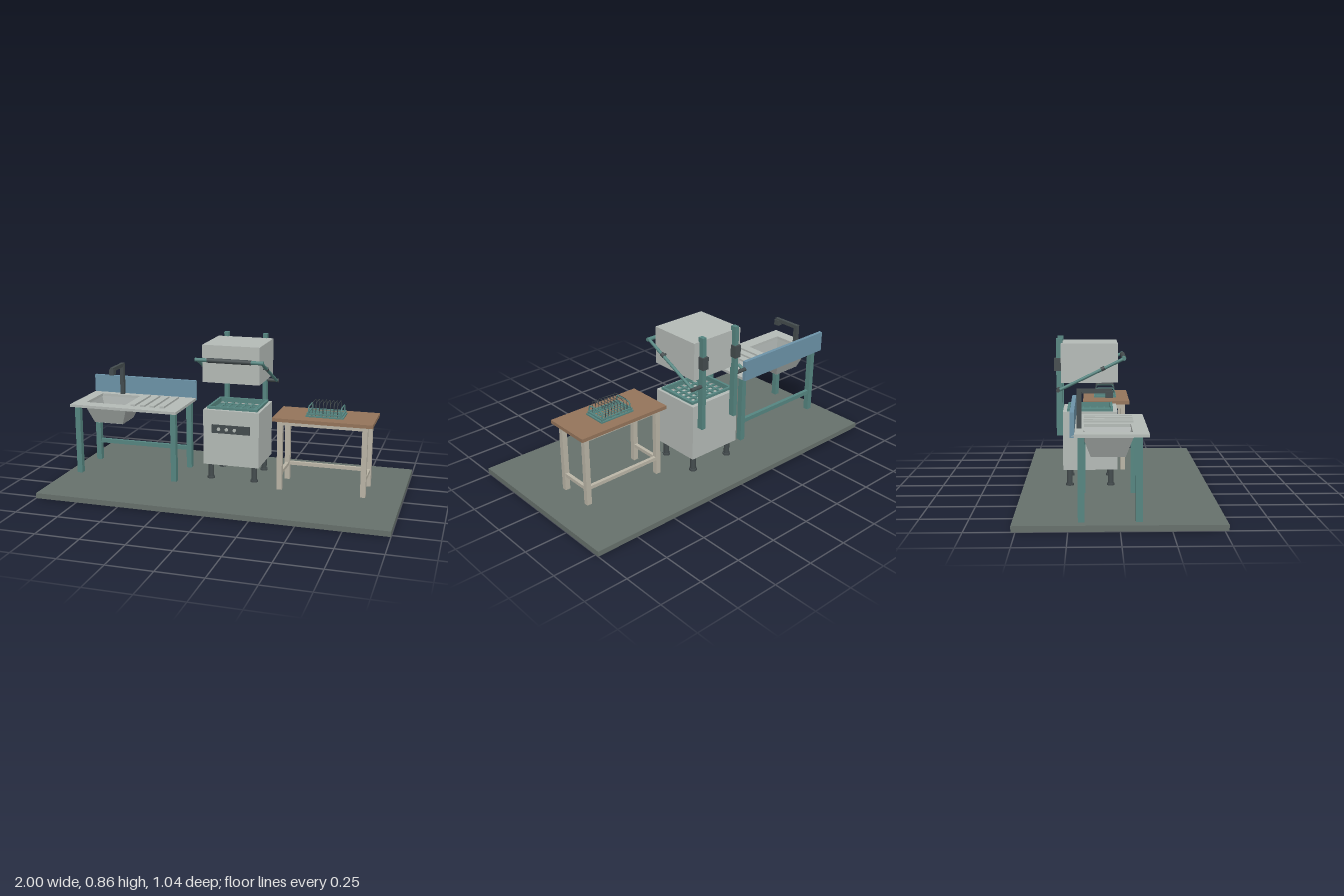
import * as THREE from 'three';

const mat = (color) => new THREE.MeshStandardMaterial({ color });
const M = {
  floor: mat(0x66706b), steel: mat(0xb4bab6), teal: mat(0x558580), blue: mat(0x6c93a8),
  dark: mat(0x444c4e), cream: mat(0xbab5a6), wood: mat(0x94745a),
};
const shell = mat(0xa4aaa7);
shell.side = THREE.DoubleSide;
shell.flatShading = true;

function add(parent, name, geometry, material) {
  const mesh = new THREE.Mesh(geometry, material);
  mesh.name = name;
  parent.add(mesh);
  return mesh;
}
// Box from its minimum and maximum corners
function box(parent, name, m, x0, x1, y0, y1, z0, z1) {
  const g = new THREE.BoxGeometry(x1 - x0, y1 - y0, z1 - z0);
  add(parent, name, g, m).position.set((x0 + x1) / 2, (y0 + y1) / 2, (z0 + z1) / 2);
}
// Round bar between two points
function bar(parent, name, m, a, b, r, r2 = r) {
  const p = new THREE.Vector3(...a), q = new THREE.Vector3(...b), d = q.clone().sub(p);
  const mesh = add(parent, name, new THREE.CylinderGeometry(r2, r, d.length(), 16), m);
  mesh.position.copy(p).add(q).multiplyScalar(0.5);
  mesh.quaternion.setFromUnitVectors(new THREE.Vector3(0, 1, 0), d.normalize());
}
// Flat slab or frame with a rectangular hole
function frame(parent, name, m, [x0, x1, z0, z1], [a0, a1, b0, b1], y0, y1) {
  const rect = (P, l, r, b, f) => {
    const p = new P();
    p.moveTo(l, -f); p.lineTo(r, -f); p.lineTo(r, -b); p.lineTo(l, -b); p.closePath();
    return p;
  };
  const s = rect(THREE.Shape, x0, x1, z0, z1);
  s.holes.push(rect(THREE.Path, a0, a1, b0, b1));
  const g = new THREE.ExtrudeGeometry(s, { depth: y1 - y0, bevelEnabled: false });
  g.rotateX(-Math.PI / 2).translate(0, y0, 0);
  add(parent, name, g, m);
}
function grid(parent, name, m, x0, x1, z0, z1, y, nx, nz, t) {
  for (let i = 1; i < nx; i++) {
    const x = x0 + (x1 - x0) * i / nx;
    box(parent, name, m, x - t, x + t, y - t, y + t, z0, z1);
  }
  for (let j = 1; j < nz; j++) {
    const z = z0 + (z1 - z0) * j / nz;
    box(parent, name, m, x0, x1, y - t, y + t, z - t, z + t);
  }
}
function group(root, name) {
  const g = new THREE.Group();
  g.name = name;
  root.add(g);
  return g;
}

function buildSink(g) {
  frame(g, 'sinkTop', M.steel, [-0.955, -0.29, -0.235, 0.142], [-0.885, -0.634, -0.173, 0.064], 0.445, 0.461);
  box(g, 'backsplash', M.blue, -0.955, -0.29, 0.445, 0.567, -0.239, -0.218);
  // Tapered basin
  const k = 0.68, h = 0.113;
  const basin = new THREE.CylinderGeometry(Math.SQRT1_2, Math.SQRT1_2 * k, 1, 4, 1, true);
  basin.rotateY(Math.PI / 4).scale(0.268, h, 0.25);
  add(g, 'basin', basin, shell).position.set(-0.7595, 0.445 - h / 2, -0.0545);
  box(g, 'basinFloor', M.steel, -0.85, -0.669, 0.331, 0.334, -0.139, 0.03);
  bar(g, 'drain', M.dark, [-0.7595, 0.331, -0.055], [-0.7595, 0.336, -0.055], 0.015);
  // Draining ridges
  for (let i = 0; i < 4; i++) {
    const x = -0.58 + i * 0.0605;
    box(g, 'drainRidge', M.steel, x - 0.014, x + 0.014, 0.461, 0.472, -0.176, 0.08);
  }
  // Tap
  box(g, 'tapColumn', M.dark, -0.772, -0.748, 0.461, 0.655, -0.209, -0.185);
  box(g, 'tapSpout', M.dark, -0.77, -0.75, 0.633, 0.655, -0.19, -0.035);
  box(g, 'tapNozzle', M.dark, -0.775, -0.745, 0.612, 0.645, -0.065, -0.03);
  // Legs and rear rail
  for (const x of [-0.94, -0.337])
    for (const z of [-0.203, 0.077]) box(g, 'sinkLeg', M.teal, x, x + 0.032, 0.03, 0.445, z, z + 0.033);
  box(g, 'sinkRail', M.teal, -0.91, -0.335, 0.14, 0.165, -0.198, -0.176);
}

function buildWasher(g) {
  // Cabinet with a shallow well on top
  box(g, 'cabinet', M.steel, -0.168, 0.168, 0.125, 0.42, -0.296, 0.01);
  frame(g, 'cabinetRim', M.steel, [-0.168, 0.168, -0.296, 0.01], [-0.146, 0.146, -0.268, -0.018], 0.42, 0.455);
  frame(g, 'washRackRim', M.teal, [-0.152, 0.152, -0.272, -0.014], [-0.138, 0.138, -0.258, -0.028], 0.44, 0.469);
  grid(g, 'washRackBar', M.teal, -0.146, 0.146, -0.266, -0.02, 0.438, 7, 6, 0.005);
  // Feet
  for (const x of [-0.132, 0.132]) for (const z of [-0.028, -0.26]) {
    bar(g, 'foot', M.dark, [x, 0.03, z], [x, 0.13, z], 0.016);
    bar(g, 'footPad', M.dark, [x, 0.03, z], [x, 0.042, z], 0.022);
  }
  // Control panel
  box(g, 'controlPanel', M.dark, -0.115, 0.115, 0.32, 0.37, 0.008, 0.016);
  for (const x of [-0.072, -0.024, 0.024])
    bar(g, 'knob', M.steel, [x, 0.345, 0.015], [x, 0.345, 0.022], 0.01);
  // Hood, open underneath
  frame(g, 'hoodWalls', M.steel, [-0.17, 0.17, -0.305, 0.012], [-0.158, 0.158, -0.293, 0], 0.619, 0.826);
  box(g, 'hoodTop', M.steel, -0.17, 0.17, 0.824, 0.837, -0.305, 0.012);
  // Posts, guides and lifting arms
  for (const s of [-1, 1]) {
    const x = s * 0.12, ax = s * 0.19;
    box(g, 'post', M.teal, x - 0.013, x + 0.013, 0.317, 0.863, -0.332, -0.297);
    box(g, 'postGuide', M.dark, x - 0.02, x + 0.02, 0.682, 0.753, -0.343, -0.303);
    bar(g, 'liftArm', M.teal, [ax, 0.755, 0.046], [ax, 0.578, -0.32], 0.009);
    bar(g, 'armPivot', M.dark, [s * 0.202, 0.58, -0.32], [s * 0.115, 0.58, -0.32], 0.011);
    bar(g, 'armCollar', M.dark, [ax, 0.704, -0.062], [ax, 0.694, -0.082], 0.012);
    bar(g, 'armPin', M.dark, [s * 0.16, 0.699, -0.072], [ax, 0.699, -0.072], 0.007);
  }
  bar(g, 'handleBar', M.teal, [-0.202, 0.755, 0.046], [0.202, 0.755, 0.046], 0.011);
  bar(g, 'handleGrip', M.dark, [-0.13, 0.755, 0.046], [0.13, 0.755, 0.046], 0.014);
}

function buildTable(g) {
  box(g, 'tableTop', M.wood, 0.265, 0.83, 0.438, 0.458, -0.187, 0.094);
  for (const x of [0.29, 0.77]) {
    for (const z of [-0.16, 0.04]) box(g, 'tableLeg', M.cream, x, x + 0.03, 0.03, 0.438, z, z + 0.028);
    box(g, 'sideApron', M.cream, x + 0.005, x + 0.025, 0.408, 0.438, -0.14, 0.045);
    box(g, 'sideRail', M.cream, x + 0.005, x + 0.025, 0.115, 0.135, -0.14, 0.045);
  }
  for (const z of [-0.156, 0.044]) box(g, 'longApron', M.cream, 0.31, 0.78, 0.412, 0.438, z, z + 0.02);
  box(g, 'backRail', M.cream, 0.31, 0.78, 0.118, 0.138, -0.156, -0.136);
}

function buildDishRack(g) {
  const outer = [0.44, 0.655, -0.12, 0.018], inner = [0.452, 0.643, -0.108, 0.006];
  frame(g, 'rackBase', M.teal, outer, inner, 0.458, 0.466);
  frame(g, 'rackRim', M.teal, [0.445, 0.65, -0.115, 0.013], [0.453, 0.642, -0.107, 0.005], 0.472, 0.48);
  for (const x of [0.446, 0.641]) for (const z of [-0.114, 0.004])
    box(g, 'rackCorner', M.teal, x, x + 0.008, 0.46, 0.48, z, z + 0.008);
  grid(g, 'rackWire', M.teal, 0.45, 0.645, -0.11, 0.008, 0.466, 10, 6, 0.002);
  // Rounded wire hoops; the end pair is lower and thicker
  for (let i = 0; i < 10; i++) {
    const end = i === 0 || i === 9, x = 0.455 + i * 0.0206, t = end ? 0.515 : 0.538;
    const pts = [[0.466, 0.006], [t - 0.018, 0.006], [t - 0.004, 0], [t, -0.014],
      [t, -0.088], [t - 0.004, -0.102], [t - 0.018, -0.108], [0.466, -0.108]];
    const path = new THREE.CatmullRomCurve3(pts.map(([y, z]) => new THREE.Vector3(x, y, z)), false, 'catmullrom', 0.3);
    add(g, end ? 'rackHandle' : 'plateHoop', new THREE.TubeGeometry(path, 40, end ? 0.004 : 0.0018, 8), end ? M.teal : M.dark);
  }
}

export function createModel() {
  const root = new THREE.Group();
  root.name = 'dishwashingStation';
  box(root, 'floor', M.floor, -1, 1, 0, 0.03, -0.522, 0.522);
  buildSink(group(root, 'sinkUnit'));
  buildWasher(group(root, 'hoodDishwasher'));
  buildTable(group(root, 'sideTable'));
  buildDishRack(group(root, 'dishRack'));
  return root;
}
